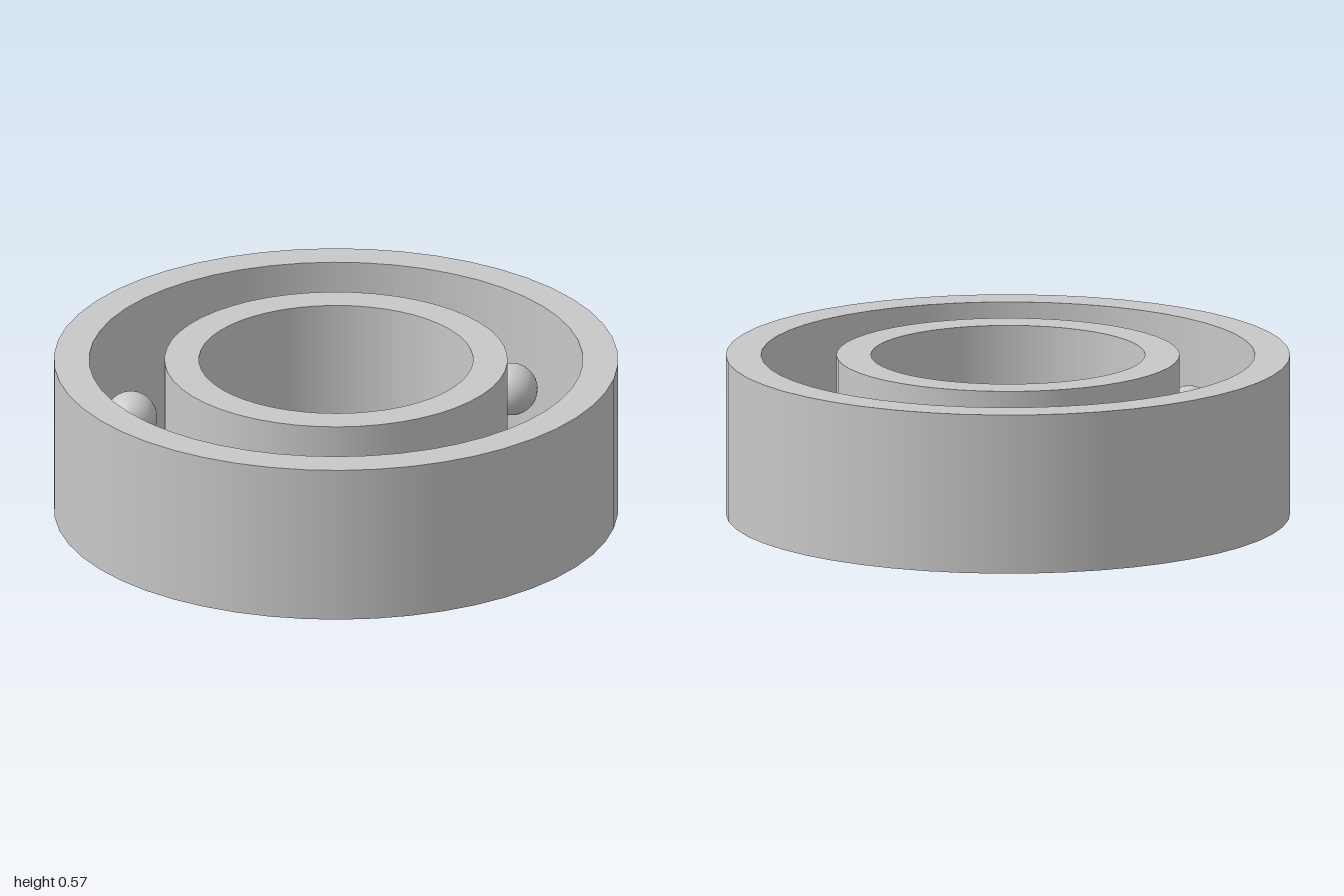
import * as THREE from 'three';
import { mergeGeometries } from 'three/addons/utils/BufferGeometryUtils.js';

const HEIGHT = 0.575;
const SEGMENTS = 50;
const BALL_COUNT = 8;
const BALL_RADIUS = 0.093;
const TRACK_RADIUS = 0.742;

// A square-edged ring: each side is its own lathe, so edges stay sharp and walls smooth
function raceGeometry(inner, outer) {
  const corners = [[outer, 0], [outer, HEIGHT], [inner, HEIGHT], [inner, 0]];
  const sides = corners.map((corner, i) => {
    const next = corners[(i + 1) % corners.length];
    return new THREE.LatheGeometry(
      [new THREE.Vector2(...corner), new THREE.Vector2(...next)], SEGMENTS);
  });
  return mergeGeometries(sides).rotateY(Math.PI / 2);
}

export function createModel() {
  const model = new THREE.Group();
  model.name = 'ballBearing';

  const steel = new THREE.MeshStandardMaterial({ color: 0xc8c8c8 });
  steel.name = 'steel';

  // Outer and inner races
  const outerRace = new THREE.Mesh(raceGeometry(0.875, 1), steel);
  outerRace.name = 'outerRace';
  const innerRace = new THREE.Mesh(raceGeometry(0.486, 0.608), steel);
  innerRace.name = 'innerRace';
  model.add(outerRace, innerRace);

  // Balls spaced evenly between the races
  const balls = new THREE.Group();
  balls.name = 'balls';
  const ballGeometry = new THREE.SphereGeometry(BALL_RADIUS, 32, 20);
  for (let i = 0; i < BALL_COUNT; i++) {
    const angle = (i / BALL_COUNT) * Math.PI * 2;
    const ball = new THREE.Mesh(ballGeometry, steel);
    ball.name = `ball${i + 1}`;
    ball.position.set(Math.cos(angle) * TRACK_RADIUS, HEIGHT / 2, Math.sin(angle) * TRACK_RADIUS);
    balls.add(ball);
  }
  model.add(balls);

  return model;
}
